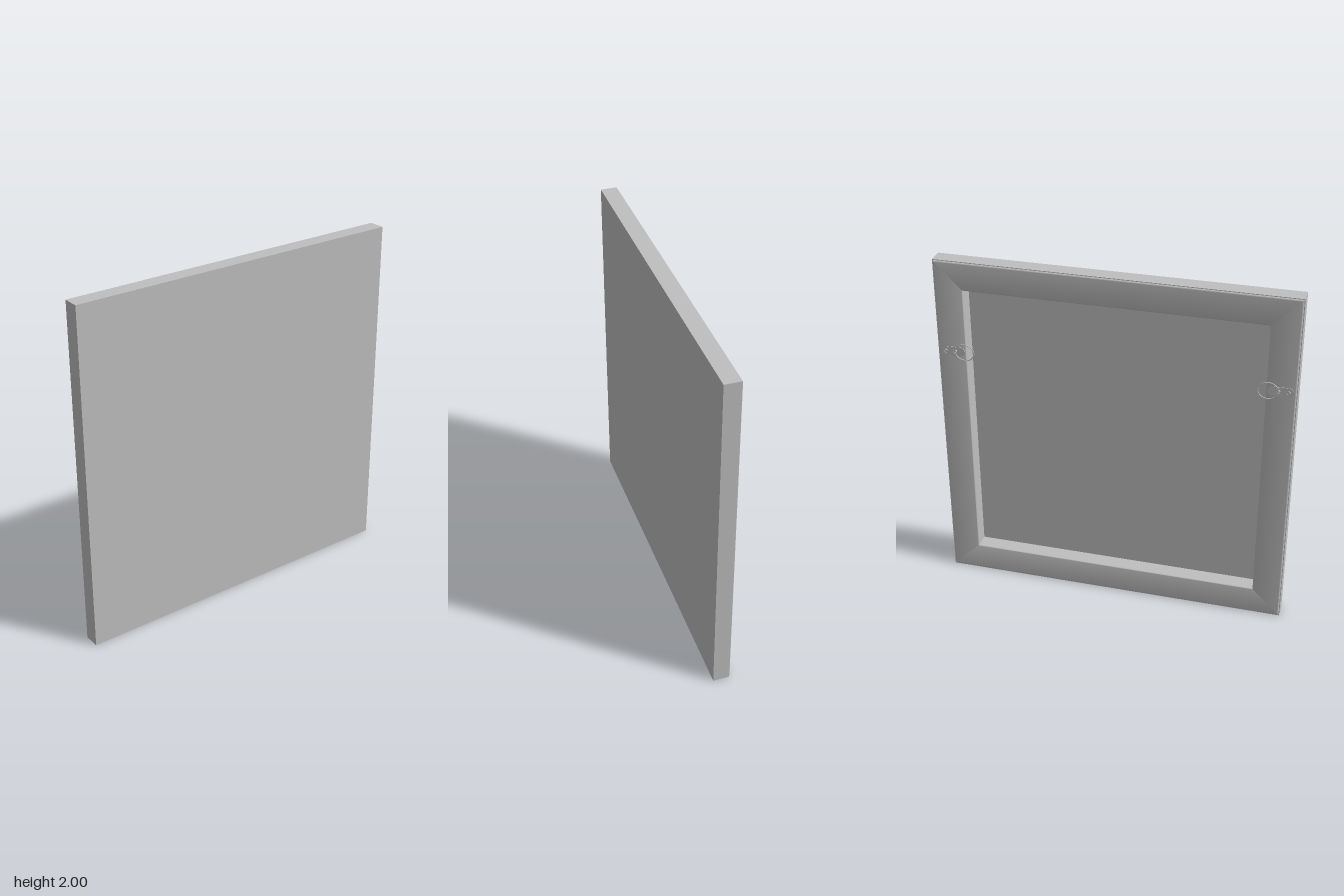
import * as THREE from 'three';
import { toCreasedNormals } from 'three/addons/utils/BufferGeometryUtils.js';

const HALF = 1;          // half of the square panel
const FRONT = 0.053;     // front of the canvas
const BACK = -0.046;     // back of the stretcher bars
const SHEET = 0.008;     // canvas thickness on the front
const WRAP = 0.004;      // canvas thickness on the edges
const BAR = 0.165;       // stretcher bar width

// One mitred stretcher bar (top), with softened back edges
function barGeometry() {
  const outer = HALF - WRAP, inner = HALF - BAR, front = FRONT - SHEET, r = 0.009;
  const s = new THREE.Shape();
  s.moveTo(inner, front);
  s.lineTo(inner, BACK + r);
  s.quadraticCurveTo(inner, BACK, inner + r, BACK);
  s.lineTo(outer - r, BACK);
  s.quadraticCurveTo(outer, BACK, outer, BACK + r);
  s.lineTo(outer, front);
  s.closePath();
  const geo = new THREE.ExtrudeGeometry(s, { depth: 1, bevelEnabled: false, curveSegments: 5 });
  const p = geo.attributes.position;
  // Turn the section upright and cut both ends at 45 degrees
  for (let i = 0; i < p.count; i++) {
    const y = p.getX(i), z = p.getY(i), e = p.getZ(i);
    p.setXYZ(i, (2 * e - 1) * y, y, z);
  }
  return toCreasedNormals(geo, 0.6);
}

// Hanger with its ring pointing to -x, seen from +z
function makeHanger(metal) {
  const hanger = new THREE.Group();
  const add = (name, geo, x, y, z) => {
    const m = new THREE.Mesh(geo, metal);
    m.name = name;
    m.position.set(x, y, z);
    hanger.add(m);
    return m;
  };
  // Strap plate with rounded ends and two screw holes
  const s = new THREE.Shape();
  s.absarc(0.045, 0, 0.027, -Math.PI / 2, Math.PI / 2);
  s.absarc(-0.04, 0, 0.027, Math.PI / 2, Math.PI * 1.5);
  s.closePath();
  for (const x of [0.045, -0.01]) {
    const hole = new THREE.Path();
    hole.absarc(x, 0, 0.012, 0, Math.PI * 2, true);
    s.holes.push(hole);
  }
  add('strapPlate', new THREE.ExtrudeGeometry(s, { depth: 0.003, bevelEnabled: false, curveSegments: 10 }), 0, 0, 0);
  // Screw heads
  for (const x of [0.045, -0.01]) {
    const head = add('screwHead', new THREE.CylinderGeometry(0.007, 0.01, 0.004, 12), x, 0, 0.002);
    head.rotation.x = Math.PI / 2;
  }
  // Oval ring, overhanging the inner edge of the bar
  const ring = add('hangingRing', new THREE.TorusGeometry(0.05, 0.003, 8, 32), -0.065, 0, 0.004);
  ring.scale.set(1.1, 0.95, 1);
  return hanger;
}

export function createModel() {
  const model = new THREE.Group();
  model.name = 'stretchedCanvas';
  const canvas = new THREE.MeshStandardMaterial({ color: 0xbfbfbf });
  canvas.name = 'grey';

  // Front sheet
  const sheet = new THREE.Mesh(new THREE.BoxGeometry(2 * HALF, 2 * HALF, SHEET), canvas);
  sheet.name = 'canvasFront';
  sheet.position.z = FRONT - SHEET / 2;
  model.add(sheet);

  // Four sides: mitred bar and the canvas wrapped over it
  const bar = barGeometry();
  const wrapDepth = FRONT - SHEET - BACK - 0.006;
  for (let i = 0; i < 4; i++) {
    const side = new THREE.Group();
    side.name = 'side' + (i + 1);
    side.rotation.z = i * Math.PI / 2;
    const rail = new THREE.Mesh(bar, canvas);
    rail.name = 'stretcherBar';
    const wrap = new THREE.Mesh(new THREE.BoxGeometry(2 * HALF - WRAP, WRAP, wrapDepth), canvas);
    wrap.name = 'canvasEdge';
    wrap.position.set(WRAP / 2, HALF - WRAP / 2, FRONT - SHEET - wrapDepth / 2);
    side.add(rail, wrap);
    model.add(side);
  }

  // Pair of hangers on the back, rings towards the middle
  for (const sx of [1, -1]) {
    const hanger = makeHanger(canvas);
    hanger.name = sx > 0 ? 'leftHanger' : 'rightHanger';
    hanger.position.set(sx * 0.91, 0.465, BACK);
    // Face backwards, flipped so that each ring points inwards
    if (sx > 0) hanger.rotation.x = Math.PI;
    else hanger.rotation.y = Math.PI;
    model.add(hanger);
  }

  // Stand the panel on the ground
  for (const part of model.children) part.position.y += HALF;
  return model;
}
